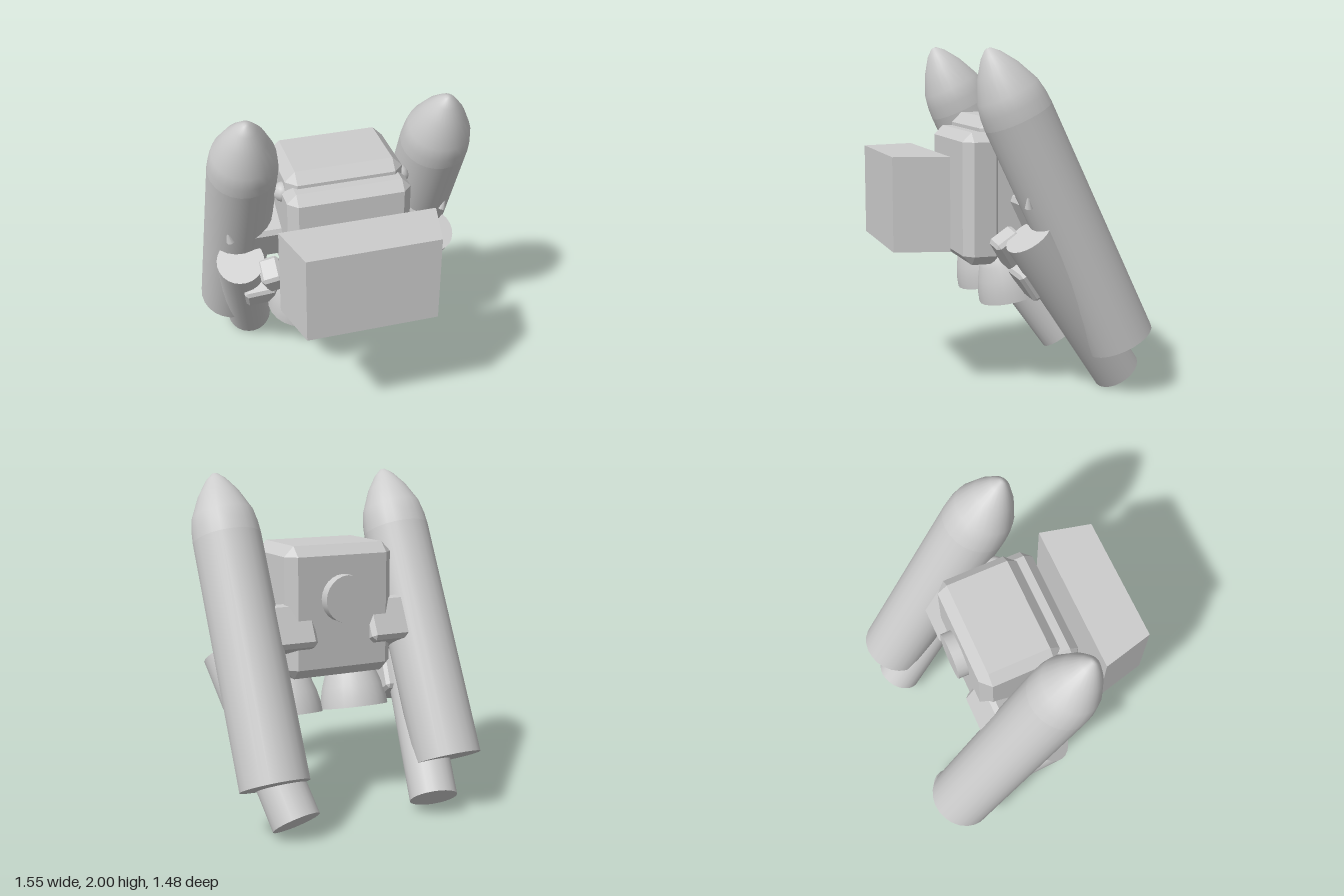
import * as THREE from 'three';
import { ConvexGeometry } from 'three/addons/geometries/ConvexGeometry.js';

const UP = new THREE.Vector3(0, 1, 0);

// Box with bevelled edges (full sizes w, h, d and bevel c)
function bevelBox(w, h, d, c) {
  const pts = [];
  for (const x of [-1, 1]) for (const y of [-1, 1]) for (const z of [-1, 1]) {
    const a = w / 2, b = h / 2, e = d / 2;
    pts.push(
      new THREE.Vector3(x * a, y * (b - c), z * (e - c)),
      new THREE.Vector3(x * (a - c), y * b, z * (e - c)),
      new THREE.Vector3(x * (a - c), y * (b - c), z * e));
  }
  return new ConvexGeometry(pts);
}

const lathe = (pts, sides) =>
  new THREE.LatheGeometry(pts.map(([r, y]) => new THREE.Vector2(r, y)), sides);

export function createModel() {
  const model = new THREE.Group();
  model.name = 'jetBackpack';
  const grey = new THREE.MeshStandardMaterial({ color: 0xcccccc });
  grey.name = 'light grey';

  function add(name, geometry, pos, rot = [0, 0, 0], parent = model) {
    const mesh = new THREE.Mesh(geometry, grey);
    mesh.name = name;
    mesh.position.set(...pos);
    mesh.rotation.set(...rot);
    parent.add(mesh);
    return mesh;
  }

  // Central pack: rear block and front block
  add('rearBlock', bevelBox(0.7, 0.78, 0.495, 0.06), [0, 1.21, -0.037]);
  add('frontBlock', bevelBox(0.735, 0.77, 0.24, 0.055), [0, 1.135, 0.2]);
  add('rearDisc', new THREE.CylinderGeometry(0.14, 0.14, 0.1, 24), [0, 1.29, -0.298], [Math.PI / 2, 0, 0]);

  // Separate tapered slab in front
  const slab = new THREE.Shape([
    new THREE.Vector2(-0.462, -0.435), new THREE.Vector2(-0.387, -0.745),
    new THREE.Vector2(0.387, -0.745), new THREE.Vector2(0.462, -0.435)]);
  const slabGeometry = new THREE.ExtrudeGeometry(slab, { depth: 0.535, bevelEnabled: false });
  slabGeometry.rotateX(-Math.PI / 2);
  add('frontSlab', slabGeometry, [0, 0.865, 0]);

  const tilt = 0.447;
  for (const s of [-1, 1]) {
    const side = s > 0 ? 'left' : 'right';

    // Long tilted booster with pointed nose; origin at the shoulder
    const booster = new THREE.Group();
    booster.name = side + 'Booster';
    booster.position.set(s * 0.573, 1.624, 0.074);
    booster.rotation.x = tilt;
    model.add(booster);
    add('boosterTube', new THREE.CylinderGeometry(0.202, 0.202, 1.456, 24), [0, -0.728, 0], [0, 0, 0], booster);
    add('boosterNose', lathe([[0.202, 0], [0.197, 0.07], [0.182, 0.15], [0.122, 0.28],
      [0.06, 0.37], [0.018, 0.408], [0, 0.41]], 24), [0, 0, 0], [0, 0, 0], booster);

    // Shorter thruster tube, slanting inwards to its foot
    const top = new THREE.Vector3(s * 0.606, 0.958, 0.024);
    const foot = new THREE.Vector3(s * 0.457, 0.088, -0.588);
    const axis = top.clone().sub(foot);
    const tube = add(side + 'ThrusterTube',
      new THREE.CylinderGeometry(0.143, 0.143, axis.length(), 24),
      top.clone().add(foot).multiplyScalar(0.5).toArray());
    tube.quaternion.setFromUnitVectors(UP, axis.normalize());

    // Bell nozzle under the pack
    const nozzle = new THREE.Group();
    nozzle.name = side + 'Nozzle';
    nozzle.position.set(s * 0.228, 0.55, -0.018);
    nozzle.rotation.x = 0.245;
    model.add(nozzle);
    add('nozzleBell', lathe([[0.209, 0], [0.204, 0.06], [0.188, 0.13], [0.16, 0.21],
      [0.13, 0.27], [0, 0.29]], 24), [0, 0, 0], [0, 0, 0], nozzle);
    add('nozzleMouth', new THREE.CircleGeometry(0.209, 24), [0, 0, 0], [Math.PI / 2, 0, 0], nozzle);

    // Brackets holding the tubes
    add(side + 'UpperBracket', bevelBox(0.43, 0.27, 0.32, 0.025), [s * 0.395, 1.088, -0.148], [tilt, 0, 0]);
    add(side + 'MiddleBracket', bevelBox(0.13, 0.2, 0.16, 0.02), [s * 0.42, 0.86, 0.07], [0.6, 0, -s * 0.35]);
    add(side + 'LowerBracket', bevelBox(0.2, 0.2, 0.2, 0.02), [s * 0.485, 0.705, -0.055], [0.614, 0, -s * 0.15]);

    // Small knob beside the pack and spike on the booster
    add(side + 'Knob', new THREE.SphereGeometry(0.06, 12, 8), [s * 0.35, 1.45, 0.1]);
    add(side + 'Spike', new THREE.ConeGeometry(0.025, 0.1, 8), [s * 0.67, 1.17, 0.045], [0.1, 0, -s * 0.2]);
  }
  return model;
}
